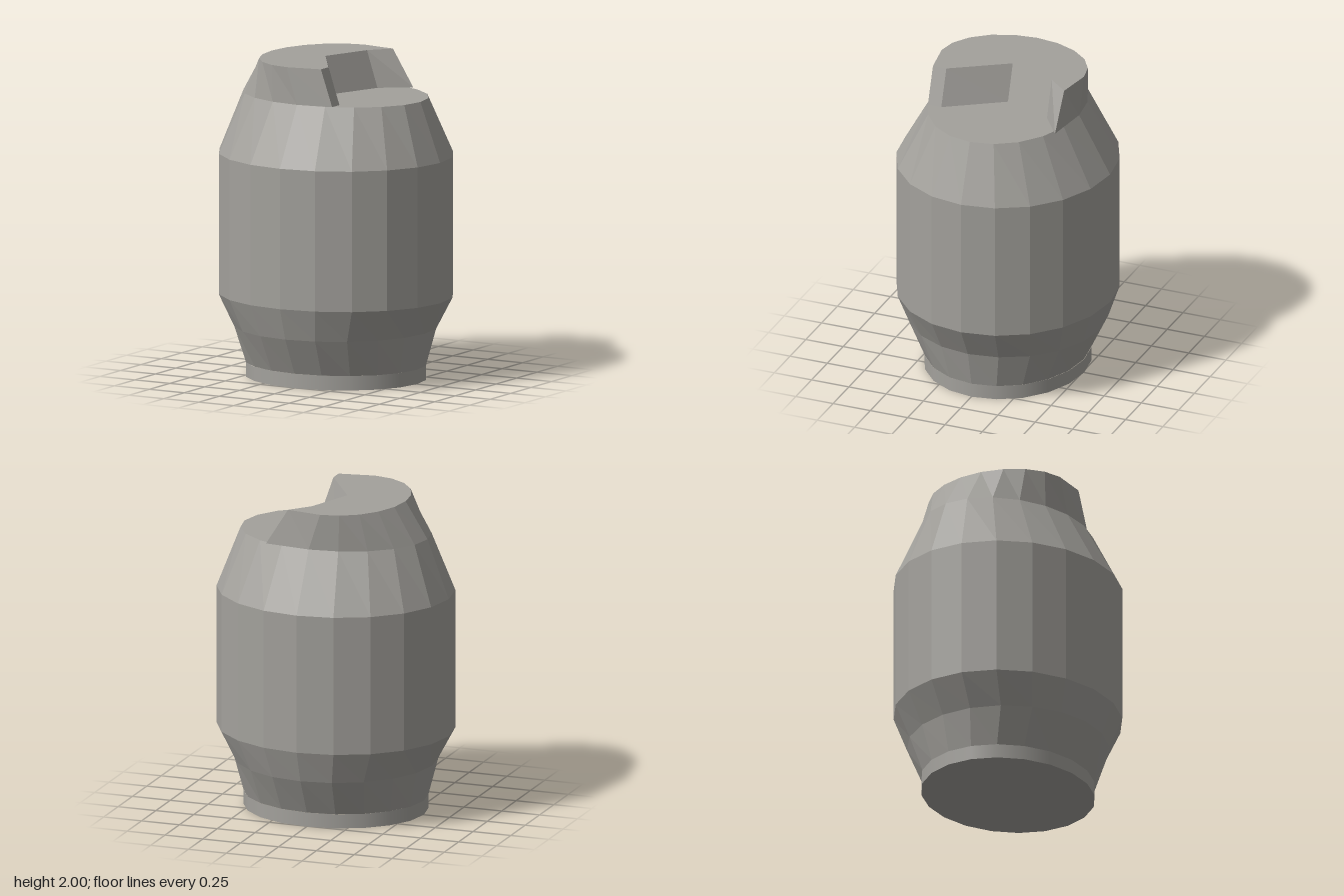
import * as THREE from 'three';

const SIDES = 20;

// Elliptical ring of [x, y, z] points, running from +x towards +z
function ellipse(y, rx, rz) {
  return Array.from({ length: SIDES }, (_, i) => {
    const a = (i / SIDES) * Math.PI * 2;
    return [rx * Math.cos(a), y, rz * Math.sin(a)];
  });
}

// Flat polygon facing up (sign 1) or down (sign -1)
function cap(ring, sign) {
  const contour = ring.map(([x, , z]) => new THREE.Vector2(x, z));
  const out = [];
  for (const [a, b, c] of THREE.ShapeUtils.triangulateShape(contour, [])) {
    const A = contour[a], B = contour[b], C = contour[c];
    const up = (B.y - A.y) * (C.x - A.x) - (B.x - A.x) * (C.y - A.y);
    const order = up * sign > 0 ? [a, b, c] : [a, c, b];
    order.forEach((i) => out.push(...ring[i]));
  }
  return out;
}

// Walls between successive rings with equal point counts
function walls(rings) {
  const out = [];
  for (let r = 0; r + 1 < rings.length; r++) {
    const lo = rings[r], hi = rings[r + 1], n = lo.length;
    for (let i = 0; i < n; i++) {
      const j = (i + 1) % n;
      out.push(...lo[i], ...hi[i], ...hi[j], ...lo[i], ...hi[j], ...lo[j]);
    }
  }
  return out;
}

function geometry(points) {
  const g = new THREE.BufferGeometry();
  g.setAttribute('position', new THREE.Float32BufferAttribute(points, 3));
  g.computeVertexNormals();
  return g;
}

export function createModel() {
  const group = new THREE.Group();
  const stone = new THREE.MeshStandardMaterial({ color: 0xa3a19c });
  stone.name = 'warm grey';
  const add = (name, geo) => {
    const mesh = new THREE.Mesh(geo, stone);
    mesh.name = name;
    group.add(mesh);
  };

  // Smooth foot band with a flat underside
  const foot = new THREE.CylinderGeometry(1, 1, 0.09, SIDES, 1, true);
  foot.rotateY(Math.PI / 2).scale(0.58, 1, 0.51).translate(0, 0.045, 0);
  add('footBand', foot);
  add('footUnderside', geometry(cap(ellipse(0, 0.58, 0.51), -1)));

  // Faceted barrel body
  const rings = [
    [0.09, 0.58, 0.507], [0.32, 0.635, 0.62], [0.52, 0.745, 0.685],
    [1.4, 0.745, 0.685], [1.77, 0.605, 0.477],
  ].map((r) => ellipse(...r));
  add('body', geometry([...walls(rings), ...cap(rings[rings.length - 1], 1)]));

  // Raised half of the top: the rounded outer side follows the body rim
  const base = [], top = [];
  for (let i = 5; i <= 15; i++) {
    const a = (i / SIDES) * Math.PI * 2;
    const z = 0.477 * Math.sin(a);
    base.push([0.605 * Math.cos(a), 1.77, z]);
    top.push([-0.075 + 0.385 * Math.cos(a), 2, z]);
  }
  // Bent inner step: base x, top x, z
  for (const [bx, tx, z] of [
    [0.295, 0.15, -0.44], [0.115, 0.04, -0.31], [0, -0.075, 0],
    [0.23, 0.15, 0.35], [0.23, 0.15, 0.44],
  ]) {
    base.push([bx, 1.77, z]);
    top.push([tx, 2, z]);
  }
  add('raisedStep', geometry([...walls([base, top]), ...cap(top, 1), ...cap(base, -1)]));

  return group;
}
